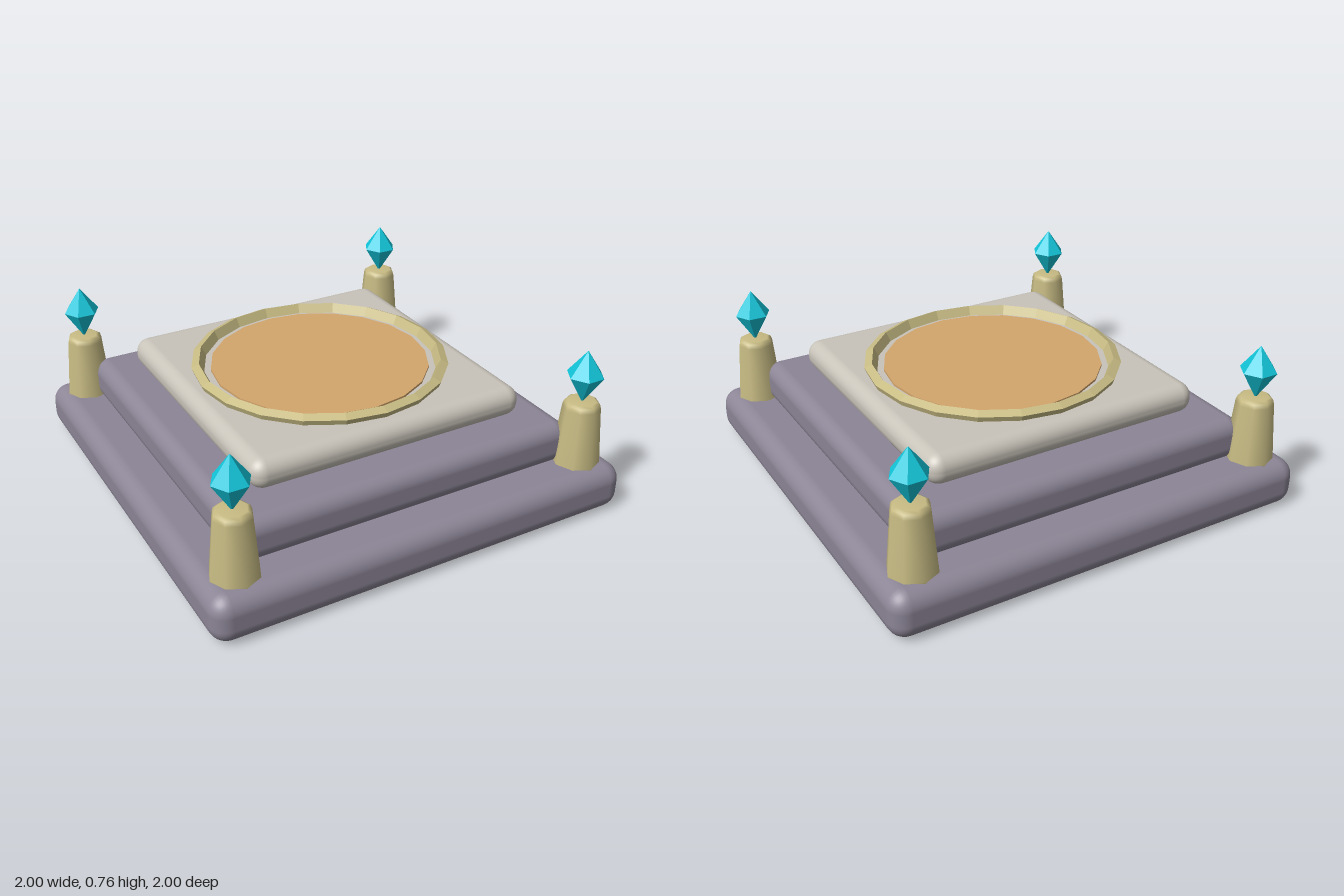
import * as THREE from 'three';
import { RoundedBoxGeometry } from 'three/addons/geometries/RoundedBoxGeometry.js';

const material = (name, color, flatShading = false) => {
  const m = new THREE.MeshStandardMaterial({ color, flatShading });
  m.name = name;
  return m;
};

export function createModel() {
  const model = new THREE.Group();
  model.name = 'pedestal';
  const darkStone = material('dark stone', 0x8c8596);
  const paleStone = material('pale stone', 0xc9c4ba);
  const postBrass = material('post brass', 0xc8bc84);
  const ringBrass = postBrass.clone();
  ringBrass.flatShading = true;
  const amber = material('amber', 0xd3a56c, true);
  const crystal = material('crystal cyan', 0x12c8dc, true);

  const add = (name, geometry, mat, x, y, z, parent = model) => {
    const mesh = new THREE.Mesh(geometry, mat);
    mesh.name = name;
    mesh.position.set(x, y, z);
    parent.add(mesh);
    return mesh;
  };
  const lathe = (points, sides) =>
    new THREE.LatheGeometry(points.map(([r, y]) => new THREE.Vector2(r, y)), sides);

  // Stepped square tiers: name, width, bottom, top, edge radius, material
  const tiers = [
    ['baseTier', 2, 0, 0.22, 0.08, darkStone],
    ['middleTier', 1.64, 0.2, 0.4, 0.07, darkStone],
    ['topSlab', 1.32, 0.4, 0.54, 0.065, paleStone],
  ];
  for (const [name, w, y0, y1, r, mat] of tiers) {
    add(name, new RoundedBoxGeometry(w, y1 - y0, w, 4, r), mat, 0, (y0 + y1) / 2, 0);
  }

  // Raised bevelled ring around the central disc
  add('ring', lathe([[0.525, 0.53], [0.575, 0.53], [0.588, 0.565], [0.553, 0.582], [0.525, 0.53]], 20),
    ringBrass, 0, 0, 0);
  add('disc', new THREE.CylinderGeometry(0.5, 0.5, 0.03, 20), amber, 0, 0.535, 0);

  // Corner posts, each holding a six-sided crystal
  const postShape = lathe([[0, 0.2], [0.107, 0.2], [0.107, 0.22], [0.083, 0.49], [0.077, 0.51],
    [0.062, 0.52], [0, 0.52]], 8);
  const crystalShape = lathe([[0, 0.51], [0.083, 0.645], [0, 0.76]], 6);
  for (const x of [-0.84, 0.84]) {
    for (const z of [-0.84, 0.84]) {
      const corner = new THREE.Group();
      corner.name = `${z > 0 ? 'front' : 'back'}${x > 0 ? 'Left' : 'Right'}Corner`;
      corner.position.set(x, 0, z);
      add('post', postShape, postBrass, 0, 0, 0, corner);
      add('crystal', crystalShape, crystal, 0, 0, 0, corner).rotation.y = Math.PI / 6;
      model.add(corner);
    }
  }
  return model;
}
